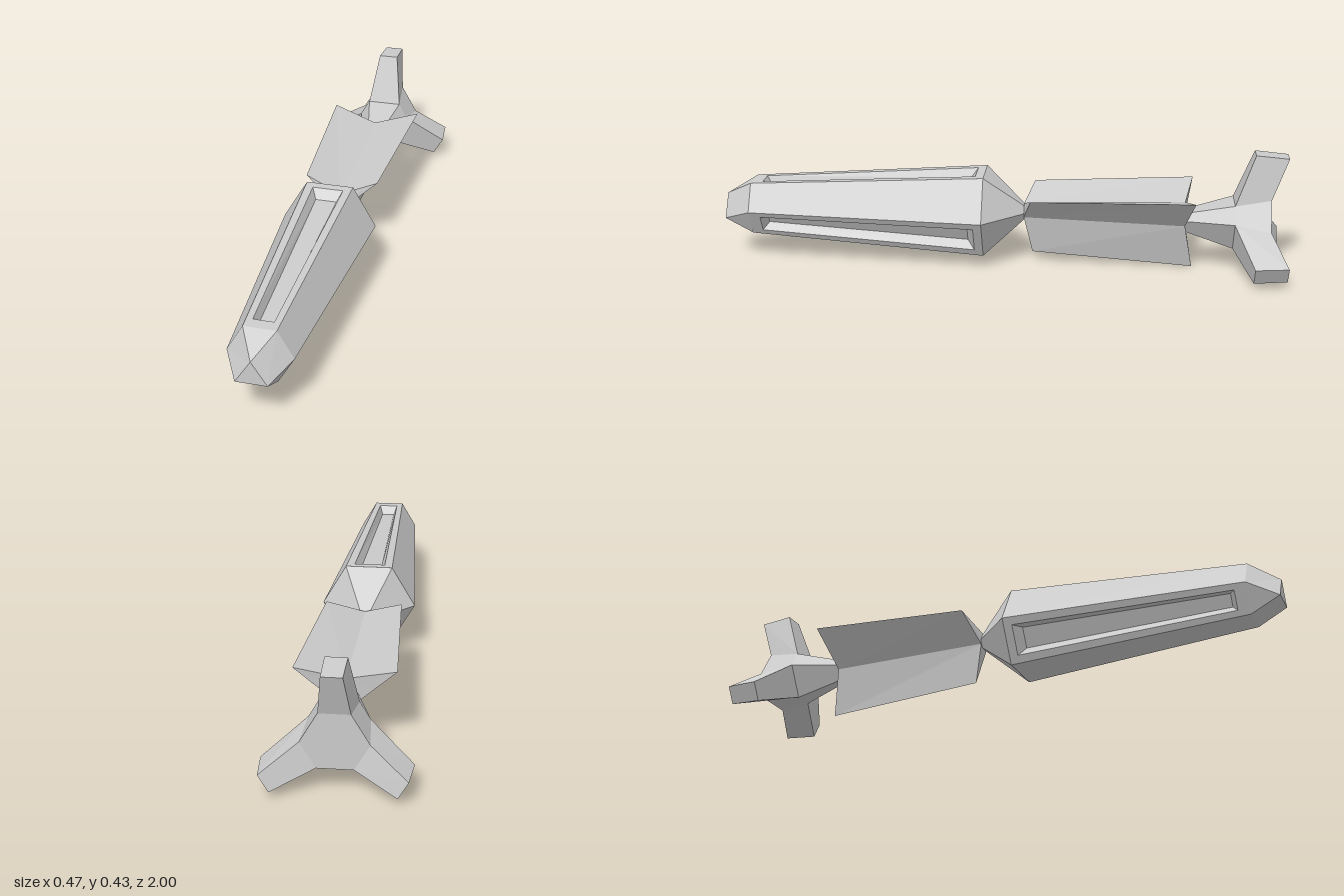
import * as THREE from 'three';

const material = new THREE.MeshStandardMaterial({ color: 0xcccccc, flatShading: true });
const P = (x, y, z) => new THREE.Vector3(x, y, z);
const THIRD = Math.PI * 2 / 3;

// Mesh from convex polygons, each listed counter-clockwise from outside
function polyMesh(name, polygons) {
  const pos = [];
  for (const p of polygons)
    for (let i = 1; i < p.length - 1; i++)
      for (const v of [p[0], p[i], p[i + 1]]) pos.push(v.x, v.y, v.z);
  const geo = new THREE.BufferGeometry();
  geo.setAttribute('position', new THREE.Float32BufferAttribute(pos, 3));
  geo.computeVertexNormals();
  const mesh = new THREE.Mesh(geo, material);
  mesh.name = name;
  return mesh;
}

// Quads joining ring a to ring b; a lies further along the axis
const loft = (a, b) => a.map((v, i) => {
  const j = (i + 1) % a.length;
  return [v, b[i], b[j], a[j]];
});

// Fan of triangles from a centre to a ring
const fan = (c, ring) => ring.map((v, i) => [c, v, ring[(i + 1) % ring.length]]);

// Six points, 60 degrees apart, from a rule giving [radius, z]
const ring6 = (start, rule) => Array.from({ length: 6 }, (_, i) => {
  const [r, z] = rule(i), a = start + i * Math.PI / 3;
  return P(r * Math.cos(a), r * Math.sin(a), z);
});

// Place three copies around the long axis
function threefold(parent, make) {
  for (let k = 0; k < 3; k++) {
    const m = make();
    m.rotation.z = k * THIRD;
    parent.add(m);
  }
}

function buildHead() {
  const head = new THREE.Group();
  head.name = 'head';
  const front = ring6(0, () => [0.108, 0.9]);
  const wide = ring6(0, () => [0.166, 0.06]);
  const neck = ring6(0, () => [0.03, -0.08]);

  // Hexagon tapering to a triangular nose
  const top = P(0, 0.039, 1), left = P(-0.052, -0.041, 1), right = P(0.052, -0.041, 1);
  const nose = [right, top, top, left, left, right];
  head.add(polyMesh('nose', [...loft(nose, front), [right, top, left]]));

  // Plain sides alternate with recessed panels
  head.add(polyMesh('plainSides', loft(front, wide).filter((_, i) => i % 2 === 0)));
  head.add(polyMesh('rearCone', [...loft(wide, neck), [...neck].reverse()]));

  // Sloping four-cornered outline sunk by depth d below the panel face
  const outline = (z0, w0, z1, w1, d) => {
    const y = z => 0.0935 + (0.9 - z) / 0.84 * 0.0503 - d;
    return [P(w0, y(z0), z0), P(w1, y(z1), z1), P(-w1, y(z1), z1), P(-w0, y(z0), z0)];
  };
  const outer = outline(0.9, 0.054, 0.06, 0.083, 0);
  const rim = outline(0.86, 0.034, 0.09, 0.054, 0);
  const floor = outline(0.84, 0.023, 0.115, 0.037, 0.032);
  threefold(head, () => polyMesh('recessedPanel', [...loft(floor, rim), ...loft(rim, outer), floor]));
  return head;
}

function buildFins() {
  // Three-pointed star section, swept back at the tips
  const front = ring6(Math.PI / 6, i => i % 2 ? [0.03, -0.08] : [0.152, -0.11]);
  const rear = ring6(Math.PI / 6, i => i % 2 ? [0.05, -0.65] : [0.19, -0.68]);
  return polyMesh('fins', [
    ...loft(front, rear),
    ...fan(P(0, 0, -0.075), front),
    ...fan(P(0, 0, -0.645), [...rear].reverse()),
  ]);
}

function buildTail() {
  const tail = new THREE.Group();
  tail.name = 'tail';
  // Hexagon made of one edge per arm
  const hubRing = (half, reach, z) => [0, 1, 2].flatMap(k => [half, -half].map(
    x => P(x, reach, z).applyAxisAngle(P(0, 0, 1), k * THIRD)));
  const neck = hubRing(0.025, 0.03, -0.64);
  const hubFront = hubRing(0.062, 0.075, -0.82);
  const hubBack = hubRing(0.05, 0.095, -0.945);
  tail.add(polyMesh('tailNeck', [neck, ...loft(neck, hubFront)]));
  tail.add(polyMesh('tailHub', [
    ...loft(hubFront, hubBack).filter((_, i) => i % 2), [...hubBack].reverse()]));

  // Tapered, swept-back arms
  const root = [hubFront[0], hubBack[0], hubBack[1], hubFront[1]];
  const tip = [P(0.035, 0.252, -0.885), P(0.033, 0.242, -1), P(-0.033, 0.242, -1), P(-0.035, 0.252, -0.885)];
  threefold(tail, () => polyMesh('tailArm', [...loft(tip, root), tip]));
  return tail;
}

export function createModel() {
  const model = new THREE.Group();
  model.name = 'dart';
  const head = buildHead(), fins = buildFins(), tail = buildTail();
  head.position.y = 0.189;
  fins.position.y = 0.19;
  tail.position.y = 0.175;
  model.add(head, fins, tail);
  return model;
}
